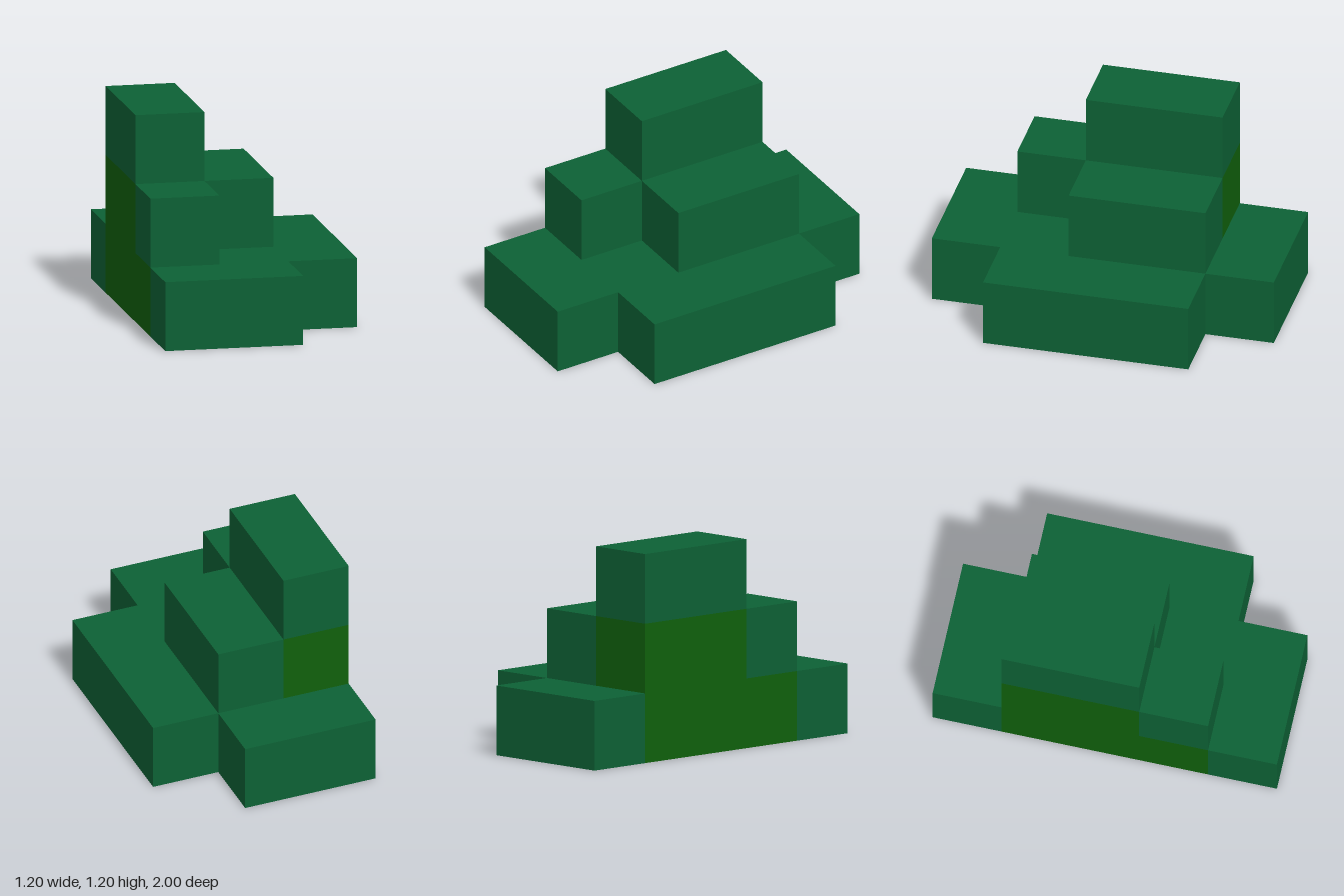
import * as THREE from 'three';

export function createModel() {
  const model = new THREE.Group();
  model.name = 'steppedMound';

  const grass = new THREE.MeshStandardMaterial({ color: 0x0d6135 });
  grass.name = 'grass green';
  const core = new THREE.MeshStandardMaterial({ color: 0x10600c });
  core.name = 'core green';

  const STEP = 0.4; // height of one tier

  // Block spanning x0..x1 and z0..z1 on the given tier
  function block(name, material, tier, x0, x1, z0, z1) {
    const mesh = new THREE.Mesh(new THREE.BoxGeometry(x1 - x0, STEP, z1 - z0), material);
    mesh.position.set((x0 + x1) / 2, (tier + 0.5) * STEP, (z0 + z1) / 2);
    mesh.name = name;
    model.add(mesh);
  }

  // Bottom tier: core under the upper blocks, grass around it
  block('lowerCoreLong', core, 0, -0.6, -0.2, -0.6, 0.6);
  block('lowerCoreShort', core, 0, -0.2, 0.2, -0.6, 0.2);
  block('frontLedge', grass, 0, -0.6, 0.2, 0.6, 1);
  block('backLedge', grass, 0, -0.6, 0.2, -1, -0.6);
  block('innerCornerLedge', grass, 0, -0.2, 0.2, 0.2, 0.6);
  block('sideLedge', grass, 0, 0.2, 0.6, -0.6, 0.6);

  // Middle tier
  block('upperCore', core, 1, -0.6, -0.2, -0.6, 0.2);
  block('middleFrontStep', grass, 1, -0.6, -0.2, 0.2, 0.6);
  block('middleSideStep', grass, 1, -0.2, 0.2, -0.6, 0.2);

  // Top tier
  block('topBlock', grass, 2, -0.6, -0.2, -0.6, 0.2);

  return model;
}
